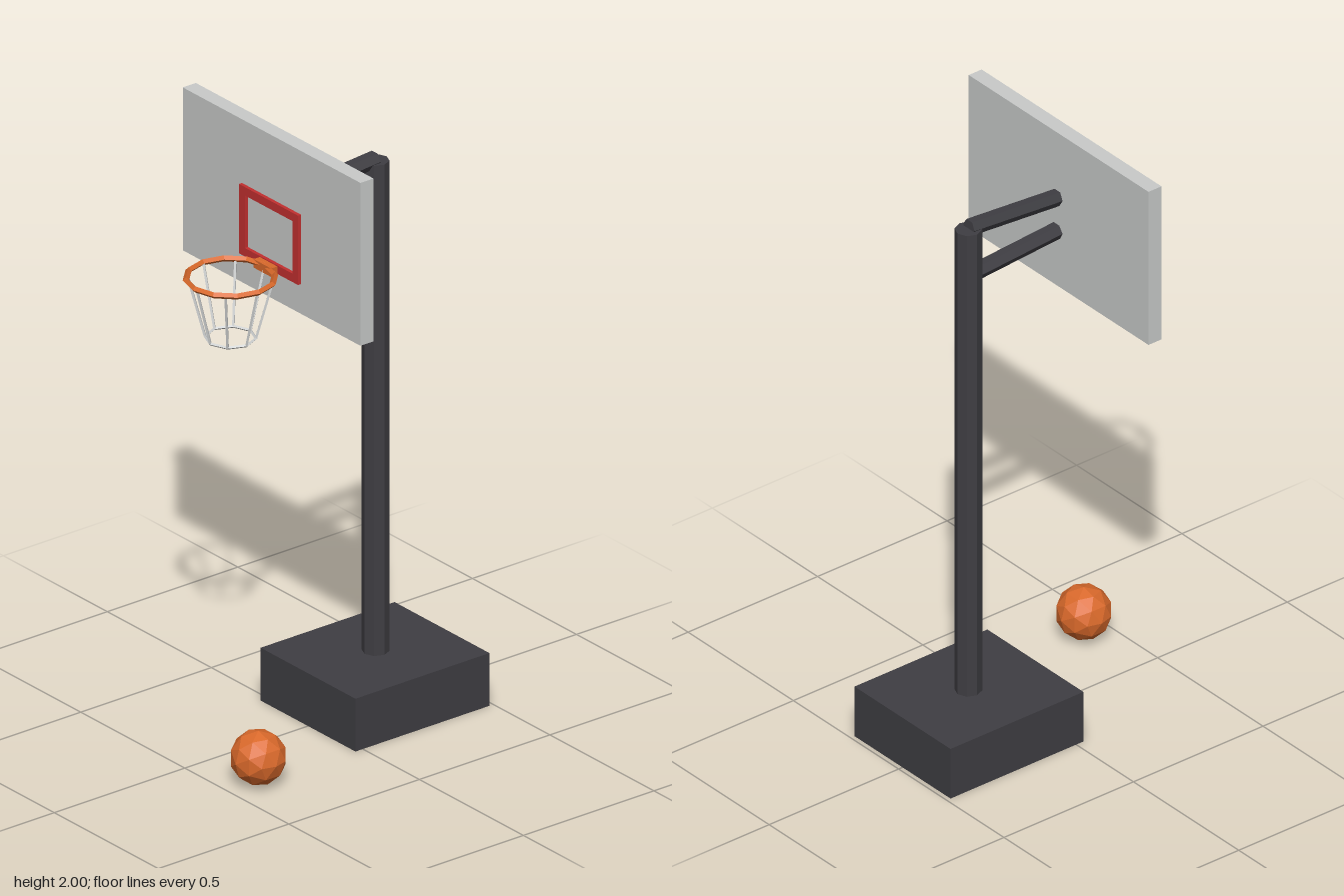
import * as THREE from 'three';

const material = (name, color, flatShading = true) => {
  const m = new THREE.MeshStandardMaterial({ color, flatShading });
  m.name = name;
  return m;
};

export function createModel() {
  const group = new THREE.Group();
  const dark = material('dark metal', 0x3f3e43);
  const board = material('board grey', 0xc9cbca);
  const red = material('target red', 0xc23030);
  const orange = material('orange', 0xd9692b);
  const net = material('net white', 0xd0d2d2);

  const add = (name, geometry, mat, x = 0, y = 0, z = 0, parent = group) => {
    const mesh = new THREE.Mesh(geometry, mat);
    mesh.name = name;
    mesh.position.set(x, y, z);
    parent.add(mesh);
    return mesh;
  };

  // Straight rod between two points
  const rod = (name, a, b, radius, sides, mat, parent = group, turn = 0) => {
    const dir = b.clone().sub(a);
    const geometry = new THREE.CylinderGeometry(radius, radius, dir.length(), sides);
    geometry.rotateY(turn);
    const mesh = add(name, geometry, mat, 0, 0, 0, parent);
    mesh.position.copy(a).add(b).multiplyScalar(0.5);
    mesh.quaternion.setFromUnitVectors(new THREE.Vector3(0, 1, 0), dir.normalize());
    return mesh;
  };

  // Base and pole
  add('base', new THREE.BoxGeometry(0.456, 0.175, 0.513), dark, 0, 0.0875, -0.2285);
  add('pole', new THREE.CylinderGeometry(0.042, 0.042, 1.63, 8), dark, 0, 0.985, -0.231);

  // Two hexagonal support arms
  for (const [name, back, front] of [['upperArm', 1.804, 1.777], ['lowerArm', 1.636, 1.661]]) {
    rod(name, new THREE.Vector3(0, back, -0.229), new THREE.Vector3(0, front, 0.111),
      0.027, 6, dark, group, Math.PI / 6);
  }

  // Backboard with the target frame
  add('backboard', new THREE.BoxGeometry(0.854, 0.54, 0.05), board, 0, 1.73, 0.1425);
  const frame = new THREE.Group();
  frame.name = 'targetFrame';
  group.add(frame);
  for (const y of [1.775, 1.573]) {
    add('frameRail', new THREE.BoxGeometry(0.284, 0.028, 0.012), red, 0, y, 0.173, frame);
  }
  for (const side of [-1, 1]) {
    add('frameSide', new THREE.BoxGeometry(0.028, 0.174, 0.012), red, side * 0.128, 1.674, 0.173, frame);
  }

  // Rim and its bracket
  const hoopZ = 0.325;
  const rimY = 1.575;
  add('bracket', new THREE.BoxGeometry(0.084, 0.028, 0.032), orange, 0, 1.57, 0.187);
  add('rim', new THREE.TorusGeometry(0.135, 0.01, 4, 12).rotateX(Math.PI / 2), orange, 0, rimY, hoopZ);

  // Net: eight strands tapering to a small ring
  const netGroup = new THREE.Group();
  netGroup.name = 'net';
  netGroup.position.set(0, 0, hoopZ);
  group.add(netGroup);
  const netY = 1.377;
  for (let i = 0; i < 8; i++) {
    const a = (i / 8) * Math.PI * 2;
    const at = (r, y) => new THREE.Vector3(Math.cos(a) * r, y, Math.sin(a) * r);
    rod('netStrand', at(0.13, rimY), at(0.077, netY), 0.005, 4, net, netGroup);
  }
  add('netRing', new THREE.TorusGeometry(0.077, 0.005, 4, 8).rotateX(Math.PI / 2), net, 0, netY, 0, netGroup);

  // Ball on the ground
  add('ball', new THREE.IcosahedronGeometry(0.087, 1), orange, 0.228, 0.092, 0.4);

  return group;
}
